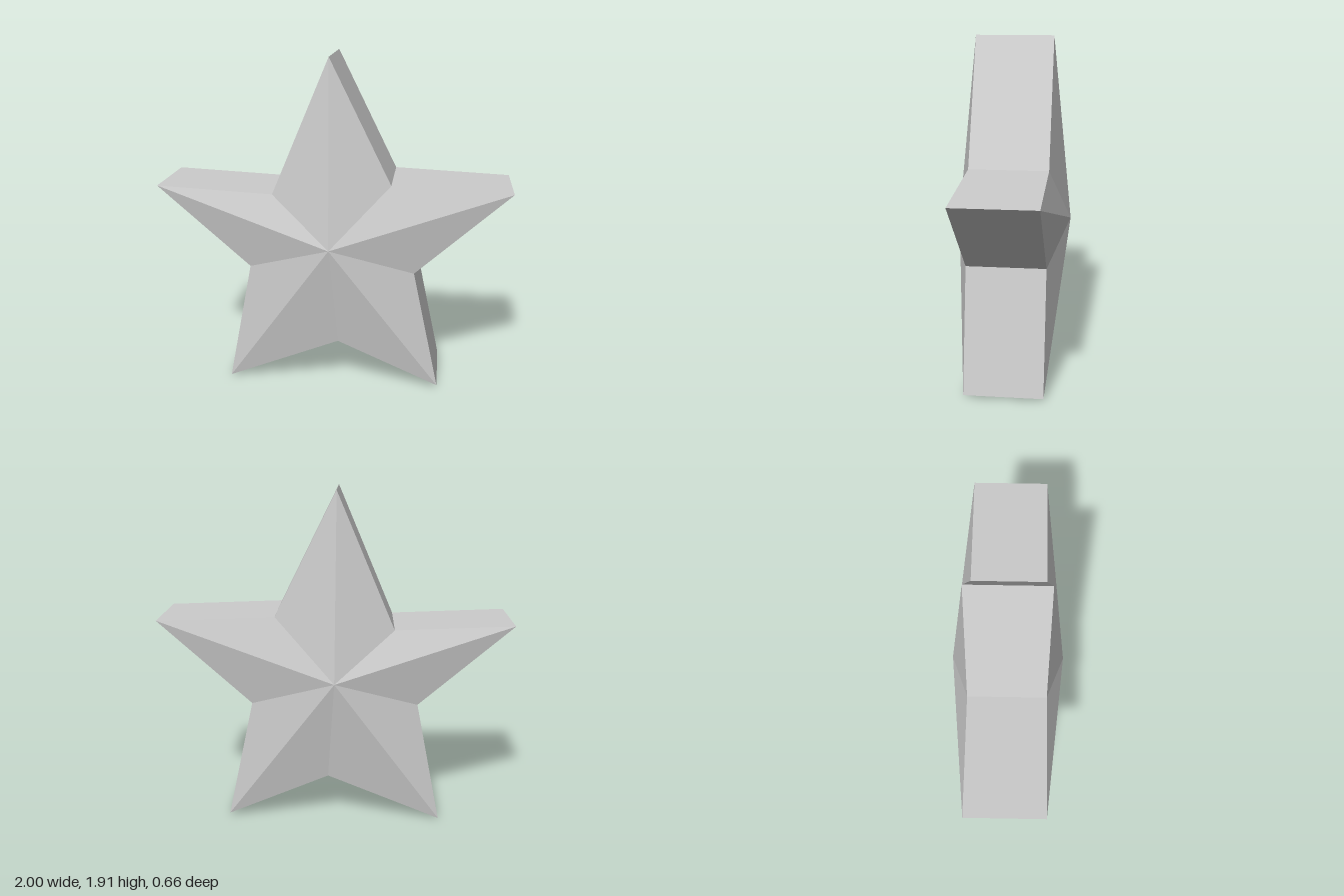
import * as THREE from 'three';

// Star outline, clockwise seen from the front, alternating tips and notches
const outline = [
  [-0.01, 1.91], [0.335, 1.217], [1, 1.19], [0.473, 0.71], [0.625, 0.015],
  [0.04, 0.265], [-0.61, 0], [-0.47, 0.71], [-1, 1.173], [-0.333, 1.145],
];
const centre = [0, 0.86];
const rimZ = 0.22;
const peakZ = 0.33;

function facets(triangles) {
  const geometry = new THREE.BufferGeometry();
  geometry.setAttribute('position', new THREE.Float32BufferAttribute(triangles.flat(2), 3));
  geometry.computeVertexNormals();
  return geometry;
}

export function createModel() {
  const star = new THREE.Group();
  star.name = 'star';
  const grey = new THREE.MeshStandardMaterial({ color: 0xcccccc });
  grey.name = 'light grey';

  const front = [], back = [], rim = [];
  outline.forEach((a, i) => {
    const b = outline[(i + 1) % outline.length];
    const af = [...a, rimZ], bf = [...b, rimZ];
    const ab = [...a, -rimZ], bb = [...b, -rimZ];
    front.push([[...centre, peakZ], bf, af]);
    back.push([[...centre, -peakZ], ab, bb]);
    rim.push([af, bf, bb], [af, bb, ab]);
  });

  // Faceted front and back pyramids joined by a straight rim
  for (const [name, triangles] of Object.entries({ frontFacets: front, backFacets: back, rim })) {
    const mesh = new THREE.Mesh(facets(triangles), grey);
    mesh.name = name;
    star.add(mesh);
  }
  return star;
}
